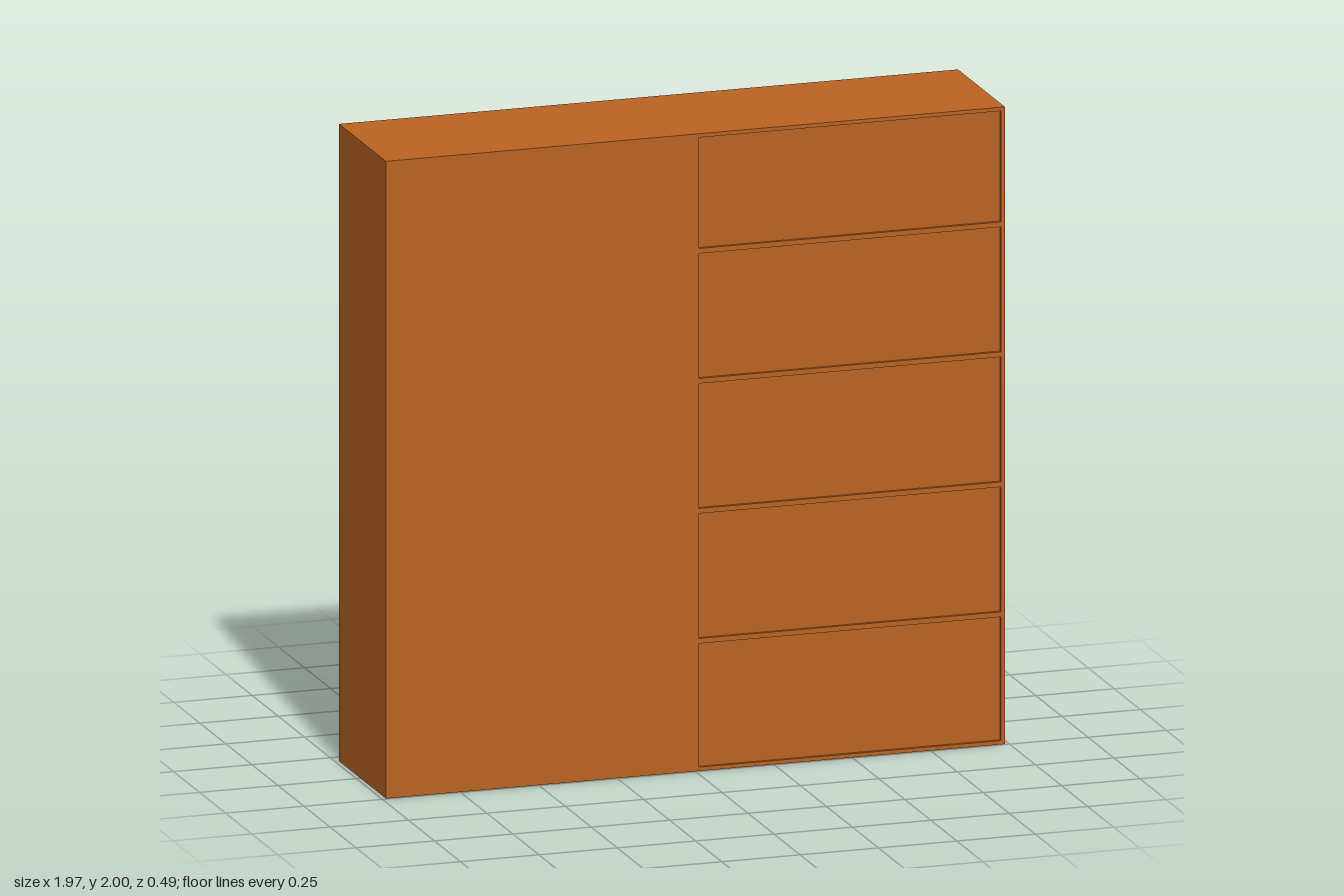
import * as THREE from 'three';

const wood = new THREE.MeshStandardMaterial({ color: 0xbb6322 });
const glass = new THREE.MeshStandardMaterial({ color: 0xcccccc });

const HALF = 0.987, H = 2, Z_DOOR = -0.205, Z_BACK = 0.245, T = 0.012;
const OPEN = { x: 0.458, y0: 0.087, y1: 1.913 }; // door opening, relative to cabinet centre
const RECESS = 0.017, DOOR_T = 0.03, GAP = 0.006;

function add(parent, name, geometry, material = wood) {
  const mesh = new THREE.Mesh(geometry, material);
  mesh.name = name;
  parent.add(mesh);
  return mesh;
}

// Box given by its limits
function box(parent, name, x0, x1, y0, y1, z0, z1, material) {
  const g = new THREE.BoxGeometry(x1 - x0, y1 - y0, z1 - z0);
  g.translate((x0 + x1) / 2, (y0 + y1) / 2, (z0 + z1) / 2);
  return add(parent, name, g, material);
}

function rect(path, x0, x1, y0, y1) {
  path.moveTo(x0, y0);
  path.lineTo(x1, y0);
  path.lineTo(x1, y1);
  path.lineTo(x0, y1);
  path.closePath();
  return path;
}

// Flat panel with a rectangular hole; limits are [x0, x1, y0, y1]
function frame(parent, name, outer, hole, z0, depth) {
  const shape = rect(new THREE.Shape(), ...outer);
  shape.holes.push(rect(new THREE.Path(), ...hole));
  const g = new THREE.ExtrudeGeometry(shape, { depth, bevelEnabled: false });
  g.translate(0, 0, z0);
  return add(parent, name, g);
}

// Hooked pull on a round rosette
function handle(x, zFace) {
  const group = new THREE.Group();
  group.name = 'handle';
  const rosette = new THREE.CylinderGeometry(0.032, 0.032, 0.01, 24);
  rosette.rotateX(Math.PI / 2);
  add(group, 'rosette', rosette).position.set(0, 1.01, zFace - 0.004);
  const curve = new THREE.CatmullRomCurve3([
    [1.013, zFace], [1.011, -0.215], [1.001, -0.23], [0.982, -0.237], [0.935, -0.237],
  ].map(([y, z]) => new THREE.Vector3(0, y, z)));
  add(group, 'pull', new THREE.TubeGeometry(curve, 24, 0.008, 10));
  add(group, 'pullTip', new THREE.SphereGeometry(0.008, 10, 8)).position.set(0, 0.935, -0.237);
  group.position.x = x;
  return group;
}

// One glazed door; side is +1 or -1 from the cabinet centre
function door(side) {
  const group = new THREE.Group();
  group.name = side > 0 ? 'leftDoor' : 'rightDoor';
  const span = (a, b) => (side > 0 ? [a, b] : [-b, -a]);
  const z = Z_DOOR + RECESS;
  const pane = [...span(0.116, 0.347), 0.22, 1.73];
  frame(group, 'doorFrame',
    [...span(0.004, OPEN.x - GAP), OPEN.y0 + GAP, OPEN.y1 - GAP], pane, z, DOOR_T);
  box(group, 'glassPane', ...pane, z + 0.01, z + 0.018, glass);
  group.add(handle(side * 0.062, z));
  return group;
}

// One cabinet; the rear panel is inset by the given amount
function cabinet(name, centre, inset) {
  const group = new THREE.Group();
  group.name = name;
  const w = HALF / 2, zf = Z_DOOR + 0.03;
  const zRear = Z_BACK - inset;
  for (const s of [-1, 1]) {
    const [a, b] = s > 0 ? [w - T, w] : [-w, -w + T];
    box(group, 'sidePanel', a, b, 0, H, zf, Z_BACK);
  }
  box(group, 'bottomPanel', -w + T, w - T, 0, T, zf, Z_BACK);
  box(group, 'topPanel', -w + T, w - T, H - T, H, zf, Z_BACK);
  box(group, 'rearPanel', -w + T, w - T, T, H - T, zRear - 0.012, zRear);
  frame(group, 'faceFrame', [-w, w, 0, H], [-OPEN.x, OPEN.x, OPEN.y0, OPEN.y1], Z_DOOR, 0.03);

  // Shelves, with edges level with the sides
  for (let i = 1; i < 5; i++) {
    const y = i * 0.408;
    box(group, 'shelf', -w + T, w - T, y - 0.008, y + 0.008, -0.13, inset > 0 ? Z_BACK : zRear - 0.012);
  }
  for (const s of [-1, 1]) group.add(door(s));
  group.position.x = centre;
  return group;
}

export function createModel() {
  const model = new THREE.Group();
  model.name = 'doubleCabinet';
  model.add(cabinet('leftCabinet', HALF / 2, 0.01));
  model.add(cabinet('rightCabinet', -HALF / 2, 0));
  return model;
}
